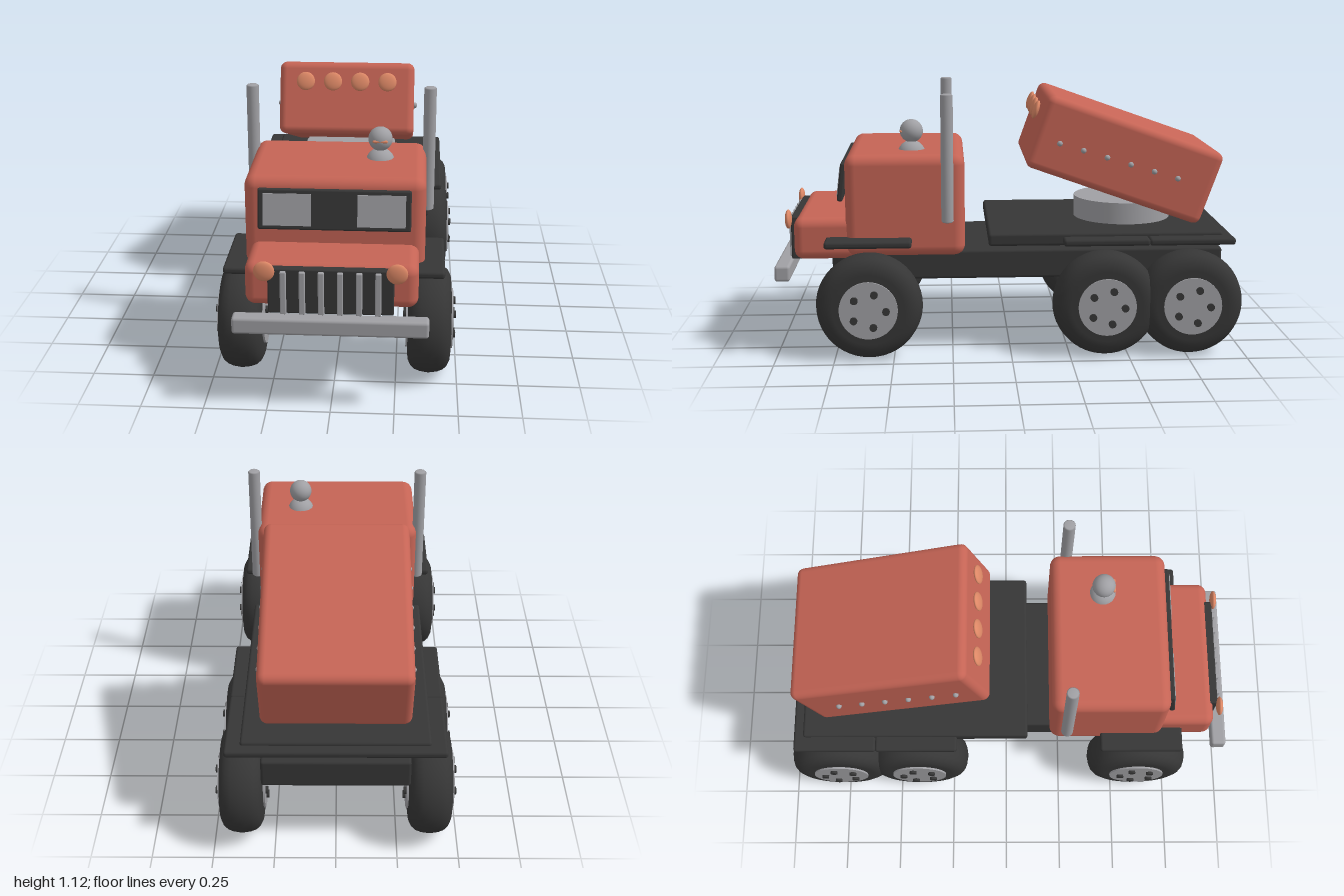
import * as THREE from 'three';
import { RoundedBoxGeometry } from 'three/addons/geometries/RoundedBoxGeometry.js';

const material = (name, color) => {
  const m = new THREE.MeshStandardMaterial({ color });
  m.name = name;
  return m;
};

export function createModel() {
  const red = material('red paint', 0xc56455);
  const dark = material('dark rubber', 0x363636);
  const silver = material('silver metal', 0xa0a0a4);
  const orange = material('orange lamp', 0xdd8866);
  const model = new THREE.Group();
  model.name = 'truck';

  const add = (parent, name, geometry, mat, x = 0, y = 0, z = 0) => {
    const mesh = new THREE.Mesh(geometry, mat);
    mesh.name = name;
    mesh.position.set(x, y, z);
    parent.add(mesh);
    return mesh;
  };
  const box = (w, h, d, r) => new RoundedBoxGeometry(w, h, d, 4, r);
  const ball = (r, sx = 1, sy = 1, sz = 1) => new THREE.SphereGeometry(r, 24, 16).scale(sx, sy, sz);

  // Chassis, load bed and fender boards
  add(model, 'chassis', box(0.6, 0.125, 1.54, 0.012), dark, 0, 0.38, -0.15);
  add(model, 'bed', box(0.755, 0.054, 1.0, 0.012), dark, 0, 0.503, -0.405);
  for (const z of [0.602, -0.402, -0.765]) {
    add(model, 'fender', box(0.88, 0.03, 0.365, 0.012), dark, 0, 0.5, z);
  }

  // Cab and hood
  add(model, 'cab', box(0.72, 0.435, 0.505, 0.045), red, 0, 0.648, 0.447);
  add(model, 'hood', box(0.672, 0.18, 0.4, 0.04), red, 0, 0.505, 0.72);

  // Tilted windscreen frame with two panes
  const windscreen = new THREE.Group();
  windscreen.name = 'windscreen';
  windscreen.position.set(0, 0.743, 0.715);
  windscreen.rotation.x = -0.12;
  model.add(windscreen);
  add(windscreen, 'windscreenFrame', box(0.605, 0.165, 0.024, 0.008), dark);
  for (const s of [-1, 1]) {
    add(windscreen, 'windowPane', new THREE.BoxGeometry(0.19, 0.13, 0.006), silver, s * 0.186, 0, 0.0125);
  }

  // Grille, headlights and bumper
  add(model, 'grille', box(0.486, 0.185, 0.05, 0.006), dark, 0, 0.492, 0.915);
  for (let i = 0; i < 6; i++) {
    add(model, 'grilleBar', box(0.024, 0.178, 0.02, 0.005), silver, (i - 2.5) * 0.073, 0.488, 0.943);
  }
  for (const s of [-1, 1]) {
    add(model, 'headlight', ball(0.041, 1, 1, 0.35), orange, s * 0.254, 0.578, 0.948);
  }
  add(model, 'bumper', box(0.758, 0.068, 0.065, 0.012), silver, 0, 0.367, 0.967);

  // Exhaust stacks with softened ends
  const stackProfile = [[0, -0.27], [0.021, -0.27], [0.026, -0.265], [0.026, 0.265], [0.021, 0.27], [0, 0.27]]
    .map(([r, y]) => new THREE.Vector2(r, y));
  for (const s of [-1, 1]) {
    add(model, 'exhaustStack', new THREE.LatheGeometry(stackProfile, 24), silver, s * 0.371, 0.852, 0.268);
  }

  // Round lookout on the cab roof
  add(model, 'lookoutBase', ball(0.06), silver, 0.17, 0.843, 0.42);
  add(model, 'lookoutHead', ball(0.05), silver, 0.17, 0.944, 0.42);
  const visor = new THREE.CapsuleGeometry(0.006, 0.05, 4, 10).rotateZ(Math.PI / 2);
  add(model, 'lookoutVisor', visor, orange, 0.17, 0.944, 0.464);

  // Turntable under the tilted box
  add(model, 'turntable', new THREE.CylinderGeometry(0.215, 0.215, 0.094, 48), silver, 0, 0.577, -0.52);

  // Tilted box with lamps on its front
  const launcher = new THREE.Group();
  launcher.name = 'tiltedBox';
  launcher.position.set(0, 0.825, -0.492);
  launcher.rotation.x = -0.34;
  model.add(launcher);
  add(launcher, 'boxBody', box(0.606, 0.325, 0.8, 0.032), red);
  for (let i = 0; i < 4; i++) {
    add(launcher, 'boxLamp', ball(0.041, 1, 1, 0.33), orange, (i - 1.5) * 0.122, 0.072, 0.424);
  }
  // Rivets along both sides of the box
  for (const s of [-1, 1]) {
    for (let i = 0; i < 6; i++) {
      add(model, 'rivet', ball(0.012), silver, s * 0.306, 0.903 - i * 0.031, -0.21 - i * 0.1015);
    }
  }

  // Wheels: lathed tyre, hub disc and five bolts through it, axle along x
  const tyreProfile = [
    [0, -0.088], [0.15, -0.088], [0.175, -0.085], [0.198, -0.074], [0.213, -0.057], [0.221, -0.035],
    [0.226, 0], [0.221, 0.035], [0.213, 0.057], [0.198, 0.074], [0.175, 0.085], [0.15, 0.088], [0, 0.088],
  ].map(([r, y]) => new THREE.Vector2(r, y));
  const tyre = new THREE.LatheGeometry(tyreProfile, 48).rotateZ(Math.PI / 2);
  const hub = new THREE.CylinderGeometry(0.123, 0.123, 0.192, 40).rotateZ(Math.PI / 2);
  const bolt = new THREE.CylinderGeometry(0.016, 0.016, 0.214, 14).rotateZ(Math.PI / 2);
  for (const s of [-1, 1]) {
    for (const z of [0.602, -0.402, -0.765]) {
      const wheel = new THREE.Group();
      wheel.name = 'wheel';
      wheel.position.set(s * 0.384, 0.23, z);
      model.add(wheel);
      add(wheel, 'tyre', tyre, dark);
      add(wheel, 'hub', hub, silver);
      for (let i = 0; i < 5; i++) {
        const a = -0.35 + i * Math.PI * 0.4;
        add(wheel, 'bolt', bolt, dark, 0, 0.074 * Math.cos(a), 0.074 * Math.sin(a));
      }
    }
  }
  return model;
}
